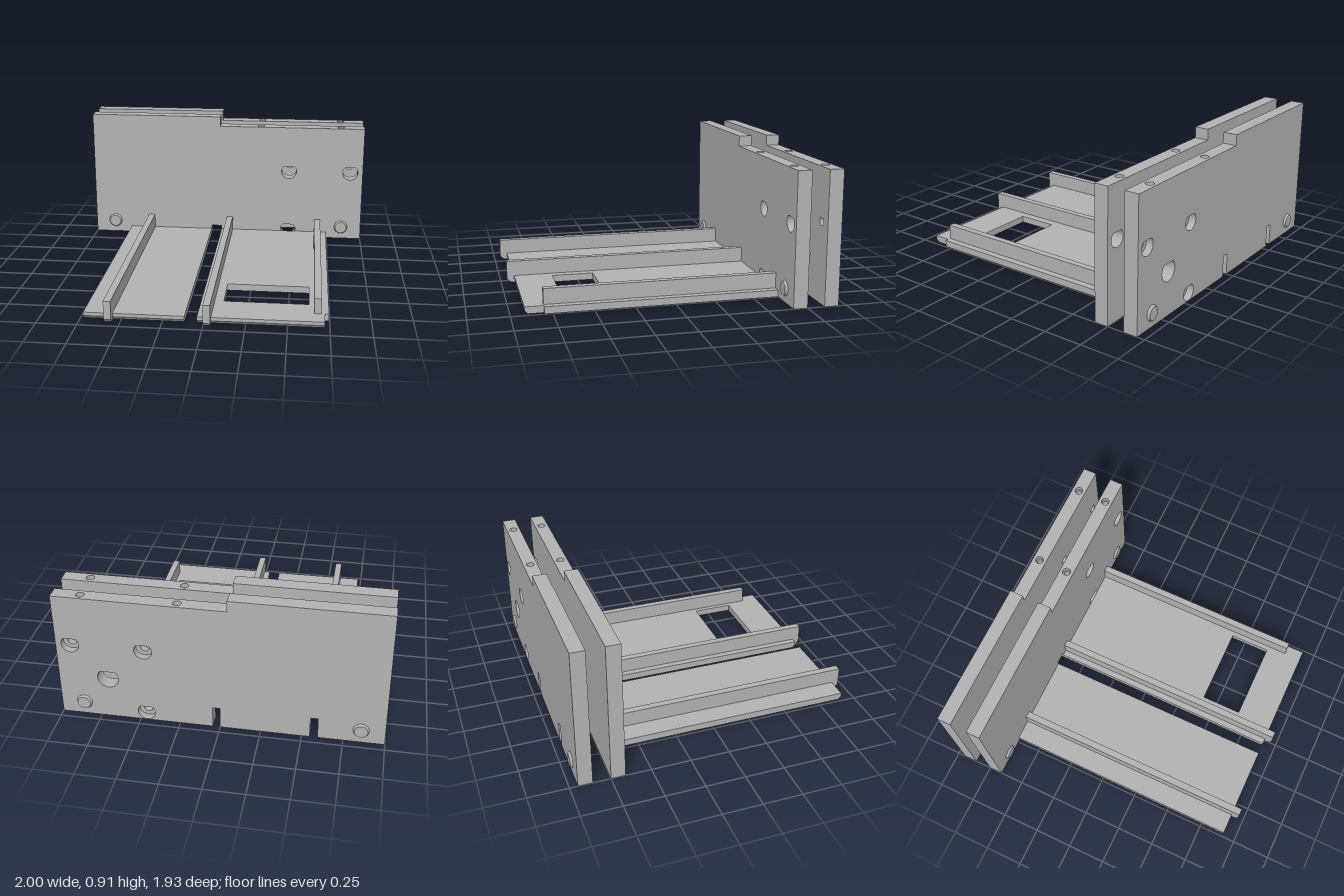
import * as THREE from 'three';

const grey = new THREE.MeshStandardMaterial({ color: 0xb2b2b2 });
grey.name = 'plain grey';

const polygon = (pts) => new THREE.Shape(pts.map(([x, y]) => new THREE.Vector2(x, y)));

function add(group, name, geometry) {
  const mesh = new THREE.Mesh(geometry, grey);
  mesh.name = name;
  group.add(mesh);
  return mesh;
}

// Round hole with a 45 degree pointed roof
function teardrop(x, y, r) {
  const path = new THREE.Path();
  path.moveTo(x, y + r * Math.SQRT2);
  path.absarc(x, y, r, Math.PI * 0.75, Math.PI * 2.25, false);
  path.closePath();
  return path;
}

function circle(x, y, r) {
  return new THREE.Path().absarc(x, y, r, 0, Math.PI * 2, false);
}

// Extrude a shape drawn in (x, -z) upwards from y0 to y1
function slab(shape, y0, y1, steps = 1) {
  return new THREE.ExtrudeGeometry(shape, { depth: y1 - y0, steps, bevelEnabled: false, curveSegments: 16 })
    .rotateX(-Math.PI / 2).translate(0, y0, 0);
}

const BOLTS = [[0.46, 0.51], [0.91, 0.51], [0.46, 0.058]];
const LOWER_TOP = 0.72;

// Upright wall; each layer is [zBack, zFront, bolt hole radius]
function wall(name, layers, notches, extraHoles, pinSide) {
  const group = new THREE.Group();
  group.name = name;
  const bottom = notches.flatMap(([a, b, h]) => [[a, 0], [a, h], [b, h], [b, 0]]);
  for (const [z0, z1, r] of layers) {
    const shape = polygon([[-1, 0], ...bottom, [1, 0], [1, LOWER_TOP], [-0.05, LOWER_TOP], [-0.05, 0.91], [-1, 0.91]]);
    for (const [x, y] of BOLTS) shape.holes.push(teardrop(x, y, r));
    for (const h of extraHoles) shape.holes.push(teardrop(...h));
    add(group, 'wallPanel', new THREE.ExtrudeGeometry(shape, { depth: z1 - z0, bevelEnabled: false, curveSegments: 24 })
      .translate(0, 0, z0));
  }
  // Top strip with two stepped screw holes
  const back = layers[0][0], front = layers[layers.length - 1][1], mid = (back + front) / 2;
  for (const [y0, y1, r] of [[LOWER_TOP, 0.81, 0.018], [0.81, 0.84, 0.026]]) {
    const strip = polygon([[-0.05, -front], [1, -front], [1, -back], [-0.05, -back]]);
    for (const x of [0.25, 0.83]) strip.holes.push(circle(x, -mid, r));
    add(group, 'topStrip', slab(strip, y0, y1));
  }
  // Tapered locating pins on the outer face
  for (const x of [-0.855, 0.855]) {
    const pin = add(group, 'locatingPin', new THREE.CylinderGeometry(0.041, 0.05, 0.016, 24));
    pin.rotation.x = pinSide * Math.PI / 2;
    pin.position.set(x, 0.088, (pinSide > 0 ? front : back) + pinSide * 0.007);
  }
  return group;
}

// Floor plate with its lower front edge bevelled
function floorPlate(shape) {
  const geometry = slab(shape, 0, 0.044, 2);
  const p = geometry.attributes.position;
  for (let i = 0; i < p.count; i++) {
    if (p.getY(i) < 0.001 && p.getZ(i) > 0.9) p.setZ(i, 0.897);
  }
  geometry.computeVertexNormals();
  return geometry;
}

// Upright rail running front to back, lower front corner cut by c
function rail(x0, x1, zEnd, c) {
  const shape = polygon([[-0.67, 0], [zEnd - c, 0], [zEnd, c], [zEnd, 0.142], [-0.67, 0.142]]);
  return new THREE.ExtrudeGeometry(shape, { depth: x1 - x0, bevelEnabled: false })
    .rotateY(-Math.PI / 2).translate(x1, 0, 0);
}

export function createModel() {
  const model = new THREE.Group();
  model.name = 'slottedBracket';

  // Two parallel walls
  model.add(wall('frontWall', [[-0.75, -0.66, 0.055]], [[-0.115, -0.04, 0.07]], [], 1));
  model.add(wall('backWall', [[-0.95, -0.905, 0.055], [-0.905, -0.86, 0.028]],
    [[-0.597, -0.55, 0.142], [0, 0.045, 0.142]], [[0.69, 0.285, 0.066]], -1));

  // Floor plates, the wider one with a window
  const floors = new THREE.Group();
  floors.name = 'floor';
  add(floors, 'narrowFloorPlate', floorPlate(polygon([[-0.73, -0.915], [-0.115, -0.915], [-0.115, 0.66], [-0.73, 0.66]])));
  const wide = polygon([[-0.04, -0.915], [0.72, -0.915], [0.72, -0.8], [0.745, -0.8], [0.745, 0.66], [-0.04, 0.66]]);
  wide.holes.push(polygon([[0.1, -0.67], [0.1, -0.4], [0.625, -0.4], [0.625, -0.67]]));
  add(floors, 'wideFloorPlate', floorPlate(wide));
  model.add(floors);

  // Rails
  add(model, 'outerRail', rail(-0.595, -0.55, 0.962, 0.025));
  add(model, 'middleRail', rail(0, 0.044, 0.962, 0.025));
  add(model, 'shortRail', rail(0.656, 0.7, 0.8, 0.002));
  return model;
}
